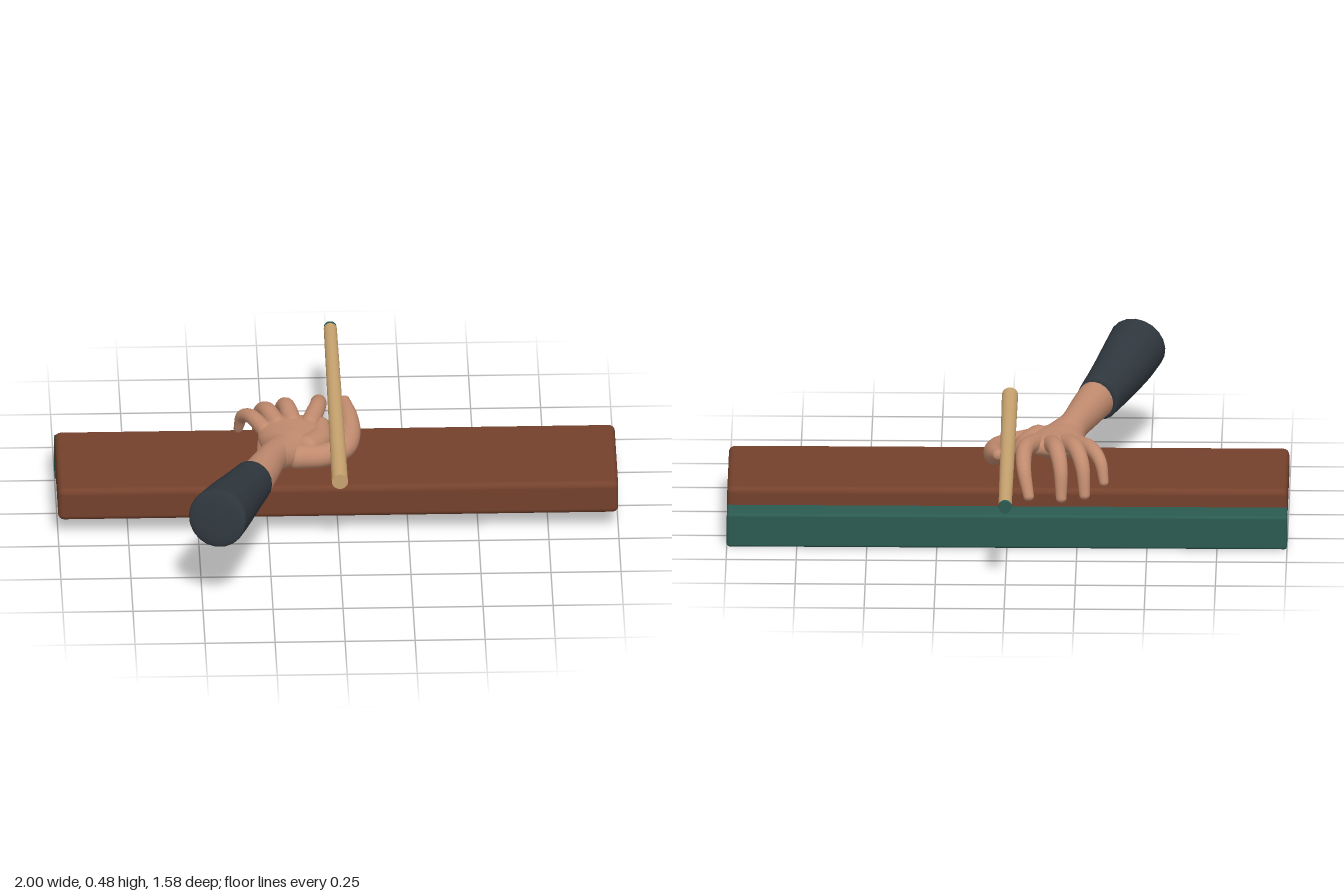
import * as THREE from 'three';
import { RoundedBoxGeometry } from 'three/addons/geometries/RoundedBoxGeometry.js';

const SIDES = 20;

// Sweeps an ellipse along stations [x, y, z, halfWidth, halfHeight] and rounds off both ends.
function loft(stations, steps = 24, capLength = 0.8) {
  const path = new THREE.CatmullRomCurve3(stations.map(s => new THREE.Vector3(s[0], s[1], s[2])));
  const size = new THREE.CatmullRomCurve3(stations.map(s => new THREE.Vector3(s[3], s[4], 0)));
  const rings = [];
  const cap = (t, dir) => {
    for (let k = 1; k <= 5; k++) {
      const a = (k / 5) * Math.PI / 2;
      rings.push({ t, scale: Math.max(Math.cos(a), 0.002), push: dir * Math.sin(a) * capLength });
    }
  };
  cap(0, -1);
  rings.reverse();
  for (let i = 0; i <= steps; i++) rings.push({ t: i / steps, scale: 1, push: 0 });
  cap(1, 1);

  const positions = [], indices = [];
  rings.forEach(({ t, scale, push }, i) => {
    const tangent = path.getTangent(t);
    const side = new THREE.Vector3(0, 1, 0).cross(tangent).normalize();
    const up = tangent.clone().cross(side);
    const r = size.getPoint(t);
    const centre = path.getPoint(t).addScaledVector(tangent, push * Math.min(r.x, r.y));
    for (let j = 0; j < SIDES; j++) {
      const a = (j / SIDES) * Math.PI * 2;
      const p = centre.clone()
        .addScaledVector(side, Math.cos(a) * r.x * scale)
        .addScaledVector(up, Math.sin(a) * r.y * scale);
      positions.push(p.x, p.y, p.z);
      if (i + 1 < rings.length) {
        const A = i * SIDES + j, B = i * SIDES + (j + 1) % SIDES;
        indices.push(A, B, A + SIDES, B, B + SIDES, A + SIDES);
      }
    }
  });
  const g = new THREE.BufferGeometry();
  g.setAttribute('position', new THREE.Float32BufferAttribute(positions, 3));
  g.setIndex(indices);
  g.computeVertexNormals();
  return g;
}

export function createModel() {
  const model = new THREE.Group();
  model.name = 'bridgeHandOnRail';
  const material = (name, color) => {
    const m = new THREE.MeshStandardMaterial({ color });
    m.name = name;
    return m;
  };
  const wood = material('railWood', 0x74412c);
  const cloth = material('greenCloth', 0x2b5b51);
  const fabric = material('darkSleeve', 0x2f373e);
  const skin = material('skin', 0xc08a6e);
  const maple = material('paleCueWood', 0xc8a36f);
  const add = (parent, name, geometry, mat, x = 0, y = 0, z = 0) => {
    const mesh = new THREE.Mesh(geometry, mat);
    mesh.name = name;
    mesh.position.set(x, y, z);
    parent.add(mesh);
    return mesh;
  };

  // Table edge
  add(model, 'woodRail', new RoundedBoxGeometry(2, 0.125, 0.456, 4, 0.022), wood, 0, 0.1275, -0.044);
  add(model, 'clothCushion', new RoundedBoxGeometry(2, 0.125, 0.122, 3, 0.01), cloth, 0, 0.0625, -0.31);

  // Cue, thinner towards the tip
  const cue = new THREE.Group();
  cue.name = 'cue';
  model.add(cue);
  const rod = (r1, r2, length) => new THREE.CylinderGeometry(r1, r2, length, 28).rotateX(-Math.PI / 2);
  add(cue, 'cueShaft', rod(0.0235, 0.029, 1.16), maple, 0, 0.312, -0.205);
  add(cue, 'cueTip', rod(0.0225, 0.0235, 0.015), cloth, 0, 0.312, -0.7925);

  // Sleeve and forearm
  const arm = new THREE.Group();
  arm.name = 'arm';
  model.add(arm);
  add(arm, 'sleeve', loft([
    [-0.448, 0.37, 0.745, 0.106, 0.108],
    [-0.415, 0.35, 0.64, 0.101, 0.104],
    [-0.36, 0.323, 0.48, 0.087, 0.091],
    [-0.315, 0.306, 0.355, 0.077, 0.08],
  ], 16, 0.15), fabric);
  add(arm, 'forearm', loft([
    [-0.315, 0.305, 0.38, 0.069, 0.073],
    [-0.275, 0.298, 0.26, 0.062, 0.066],
    [-0.235, 0.288, 0.14, 0.053, 0.059],
    [-0.2, 0.275, 0.05, 0.06, 0.055],
  ]), skin);

  // Palm
  const hand = new THREE.Group();
  hand.name = 'hand';
  model.add(hand);
  add(hand, 'palm', loft([
    [-0.225, 0.285, 0.12, 0.054, 0.055],
    [-0.195, 0.27, 0.05, 0.082, 0.06],
    [-0.175, 0.272, -0.02, 0.108, 0.056],
    [-0.165, 0.287, -0.09, 0.113, 0.04],
    [-0.165, 0.292, -0.12, 0.1, 0.03],
  ]), skin);
  add(hand, 'heelOfHand', loft([
    [-0.24, 0.25, 0.08, 0.03, 0.035],
    [-0.25, 0.235, 0.03, 0.036, 0.04],
    [-0.25, 0.25, -0.05, 0.032, 0.035],
  ]), skin);

  // Fingers: knuckle, middle joint, last joint, tip
  const fingers = {
    littleFinger: [[-0.255, 0.29, -0.07], [-0.3, 0.3, -0.15], [-0.332, 0.27, -0.21], [-0.345, 0.205, -0.24]],
    ringFinger: [[-0.21, 0.3, -0.09], [-0.245, 0.31, -0.18], [-0.268, 0.265, -0.245], [-0.276, 0.17, -0.28]],
    middleFinger: [[-0.155, 0.3, -0.1], [-0.175, 0.315, -0.2], [-0.19, 0.265, -0.265], [-0.193, 0.165, -0.3]],
    indexFinger: [[-0.095, 0.3, -0.09], [-0.062, 0.315, -0.2], [-0.06, 0.275, -0.295], [-0.078, 0.19, -0.352]],
  };
  const radii = [0.034, 0.03, 0.026, 0.019];
  for (const [name, joints] of Object.entries(fingers)) {
    const slim = name === 'littleFinger' ? 0.88 : 1;
    add(hand, name, loft(joints.map((p, i) => [...p, radii[i] * slim, radii[i] * slim])), skin);
  }

  // Thumb passes under the cue and lies along its far side
  add(hand, 'thumb', loft([
    [-0.15, 0.26, 0.08, 0.045, 0.045],
    [-0.05, 0.25, 0.055, 0.045, 0.042],
    [0.022, 0.252, 0.0, 0.044, 0.042],
    [0.048, 0.264, -0.09, 0.04, 0.044],
    [0.046, 0.286, -0.17, 0.033, 0.038],
    [0.034, 0.31, -0.245, 0.02, 0.02],
  ], 32), skin);
  // Web between thumb and palm, supporting the cue
  add(hand, 'thumbWeb', loft([
    [-0.11, 0.275, 0.04, 0.05, 0.045],
    [-0.065, 0.272, -0.03, 0.045, 0.04],
    [-0.055, 0.28, -0.11, 0.035, 0.035],
  ]), skin);

  return model;
}
